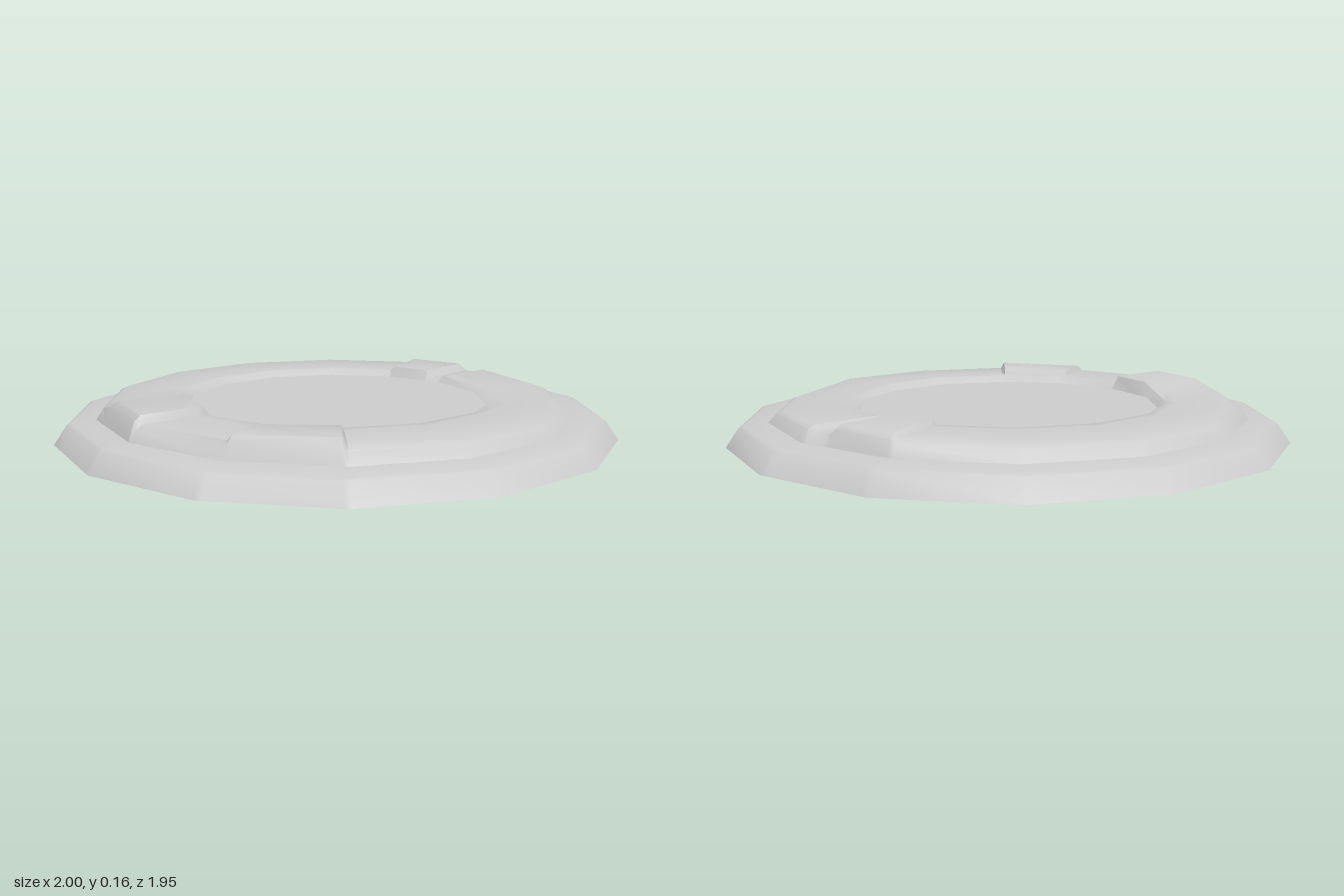
import * as THREE from 'three';
import { toCreasedNormals } from 'three/addons/utils/BufferGeometryUtils.js';

const SIDES = 14;

// Columns around the disc: [position in sides, height change of the ring top, raised only on its outer part]
const columns = [
  [0, 0], [1, 0],
  [2, 0], [2.04, 0.024, true], [2.96, 0.017, true], [3, 0],   // right front pad
  [4, 0], [4.05, 0.027], [4.75, 0.028], [5, 0.004],           // left front pad
  [6, 0], [7, 0], [8, 0], [9, 0],
  [10, 0], [10.06, 0.016], [10.68, 0.016],                    // back pad
  [10.76, -0.01], [10.94, -0.01], [11, 0.002],                // groove
  [12, -0.01], [13, -0.018], [14, 0],
];

// Profile rows from the underside centre, over the rim, to the top centre:
// [radius, height, share of the ring's height change, inside the short pad's edge]
const baseRows = [[0, 0, 0], [1, 0, 0], [0.955, 0.066, 0], [0.94, 0.072, 0], [0.855, 0.08, 0]];
const ringRows = [
  [0.855, 0.08, 0], [0.828, 0.118, 0.8], [0.805, 0.13, 1], [0.645, 0.13, 1],
  [0.605, 0.13, 1, true], [0.57, 0.13, 1, true], [0.54, 0.108, 0, true],
];
const centreRows = [[0.54, 0.108, 0, true], [0, 0.106, 0, true]];

// Point on the straight side of a regular polygon
function polygonPoint(k, r) {
  const i = Math.floor(k), f = k - i, step = (Math.PI * 2) / SIDES;
  const mix = (fn) => r * THREE.MathUtils.lerp(fn(i * step), fn((i + 1) * step), f);
  return [mix(Math.cos), mix(Math.sin)];
}

// Skin of cross-sections running all the way round
function skin(name, rows) {
  const point = ([r, y, share, inner], [k, lift, outerOnly]) => {
    const [x, z] = polygonPoint(k, r);
    return [x, y + (outerOnly && inner ? 0 : lift * share), z];
  };
  const positions = [];
  for (let i = 0; i < rows.length - 1; i++) {
    for (let j = 0; j < columns.length - 1; j++) {
      const a = point(rows[i], columns[j]), b = point(rows[i], columns[j + 1]);
      const c = point(rows[i + 1], columns[j + 1]), d = point(rows[i + 1], columns[j]);
      if (rows[i + 1][0] > 0) positions.push(...a, ...d, ...c);
      if (rows[i][0] > 0) positions.push(...a, ...c, ...b);
    }
  }
  const geometry = new THREE.BufferGeometry();
  geometry.setAttribute('position', new THREE.Float32BufferAttribute(positions, 3));
  const mesh = new THREE.Mesh(
    toCreasedNormals(geometry, 0.65),
    new THREE.MeshStandardMaterial({ color: 0xcccccc }),
  );
  mesh.name = name;
  return mesh;
}

export function createModel() {
  const model = new THREE.Group();
  model.name = 'steppedDisc';
  model.add(
    skin('baseDisc', baseRows),         // flat underside, bevelled rim and shelf
    skin('raisedRing', ringRows),       // ring with pads, groove and inner slope
    skin('centrePanel', centreRows),    // sunken middle
  );
  return model;
}
